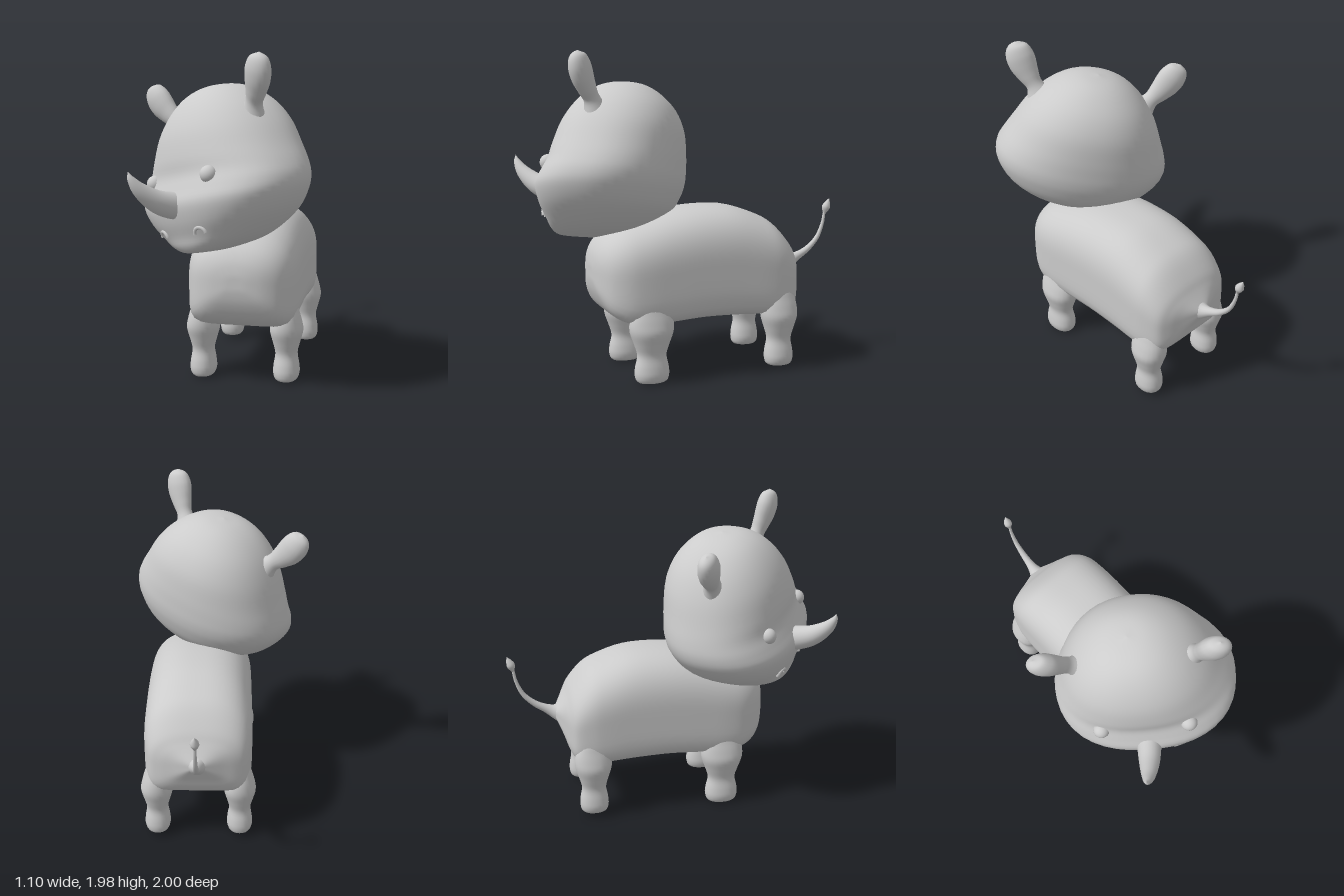
import * as THREE from 'three';

const grey = new THREE.MeshStandardMaterial({ color: 0xcccccc });
const V = (x, y, z) => new THREE.Vector3(x, y, z);

// Smoothly resample rows of numbers (cubic through every row)
function smoothRows(rows, steps) {
  const n = rows.length;
  const curve = new THREE.CubicInterpolant(rows.map((_, i) => i), rows.flat(), rows[0].length);
  const out = [];
  for (let i = 0; i <= (n - 1) * steps; i++) out.push(Array.from(curve.evaluate(i / steps)));
  return out;
}

// Skin a list of closed rings, each running anticlockwise about the direction of travel
function loft(name, rings) {
  const m = rings[0].length, index = [];
  for (let i = 0; i < rings.length - 1; i++) {
    for (let j = 0; j < m; j++) {
      const a = i * m + j, b = i * m + (j + 1) % m;
      index.push(a, b, a + m, b, b + m, a + m);
    }
  }
  const geo = new THREE.BufferGeometry().setFromPoints(rings.flat());
  geo.setIndex(index);
  geo.computeVertexNormals();
  const mesh = new THREE.Mesh(geo, grey);
  mesh.name = name;
  return mesh;
}

// Superellipse ring: place(u, v) turns each unit corner into a point
function ring(sides, exponent, place) {
  return Array.from({ length: sides }, (_, j) => {
    const a = (j / sides) * Math.PI * 2, c = Math.cos(a), s = Math.sin(a);
    const n = exponent(c, s);
    const k = Math.pow(Math.pow(Math.abs(c), n) + Math.pow(Math.abs(s), n), -1 / n);
    return place(c * k, s * k);
  });
}

// Tapered limb along a path; rows are x, y, z, radius along side, radius across
function taper(name, rows, side, sides = 20) {
  const pts = smoothRows(rows, 5);
  const rings = pts.map((p, i) => {
    const a = pts[Math.max(i - 1, 0)], b = pts[Math.min(i + 1, pts.length - 1)];
    const dir = V(b[0] - a[0], b[1] - a[1], b[2] - a[2]).normalize();
    const v = dir.clone().cross(side).normalize();
    const u = v.clone().cross(dir);
    return ring(sides, () => 2, (c, s) => V(p[0], p[1], p[2])
      .addScaledVector(u, c * Math.max(p[3], 0)).addScaledVector(v, s * Math.max(p[4], 0)));
  });
  return loft(name, rings);
}

function makeBody() {
  // z, top, bottom, half width
  const rows = smoothRows([
    [-0.72, 0.63, 0.63, 0], [-0.70, 0.655, 0.60, 0.045], [-0.66, 0.71, 0.51, 0.15],
    [-0.63, 0.755, 0.43, 0.235], [-0.59, 0.82, 0.38, 0.295], [-0.50, 0.92, 0.355, 0.326],
    [-0.40, 0.975, 0.35, 0.335], [-0.22, 1.03, 0.36, 0.335], [0, 1.035, 0.365, 0.335],
    [0.2, 1.01, 0.355, 0.335], [0.38, 0.965, 0.35, 0.332], [0.5, 0.925, 0.37, 0.312],
    [0.59, 0.865, 0.43, 0.258], [0.64, 0.795, 0.52, 0.175], [0.66, 0.72, 0.60, 0.08], [0.662, 0.66, 0.66, 0],
  ], 4);
  return loft('body', rows.map(([z, top, bottom, w]) =>
    ring(56, (c, s) => (s > 0 ? 2.6 : 6.5), (c, s) =>
      V(c * w, (top + bottom) / 2 + s * (top - bottom) / 2, z))));
}

function makeLeg(name, x, y, z, depth) {
  // height, half width, half depth
  const rows = smoothRows([
    [0, 0, 0], [0.005, 0.06, 0.085], [0.045, 0.08, 0.106], [0.1, 0.077, 0.103], [0.17, 0.067, 0.09],
    [0.24, 0.083, 0.11], [0.31, 0.1, 0.134], [0.37, 0.09, 0.136], [0.43, 0.073, 0.12], [0.5, 0.05, 0.08], [0.55, 0, 0],
  ], 4);
  const leg = loft(name, rows.map(([h, w, d]) => ring(24, () => 2.2, (c, s) => V(s * w, h, c * d * depth))));
  leg.position.set(x, y, z);
  return leg;
}

function makeHead() {
  const head = new THREE.Group();
  head.name = 'head';

  // Skull and muzzle: height, half width, front, back
  const rows = smoothRows([
    [-0.49, 0, 0.24, 0.24], [-0.485, 0.13, 0.345, 0.1], [-0.45, 0.255, 0.385, -0.1], [-0.39, 0.365, 0.405, -0.22],
    [-0.3, 0.475, 0.44, -0.32], [-0.2, 0.542, 0.457, -0.37], [-0.12, 0.554, 0.425, -0.39], [-0.04, 0.532, 0.393, -0.395],
    [0.06, 0.487, 0.385, -0.395], [0.2, 0.42, 0.35, -0.38], [0.32, 0.335, 0.285, -0.325],
    [0.41, 0.23, 0.2, -0.235], [0.46, 0.12, 0.1, -0.14], [0.477, 0, -0.02, -0.02],
  ], 4);
  head.add(loft('skull', rows.map(([y, w, f, b]) => {
    const full = THREE.MathUtils.lerp(2.4, 2.2, THREE.MathUtils.smoothstep(y, -0.15, 0.1));
    return ring(48, c => (c > 0 ? full : 2.15), (c, s) =>
      V(s * w, y, (f + b) / 2 + c * (f - b) / 2));
  })));

  // Upturned nose horn
  head.add(taper('horn', [
    [0, -0.21, 0.36, 0.078, 0.082], [0, -0.2, 0.45, 0.073, 0.077], [0, -0.165, 0.55, 0.062, 0.064],
    [0, -0.1, 0.64, 0.043, 0.044], [0, -0.035, 0.69, 0.022, 0.022], [0, 0.01, 0.705, 0, 0],
  ], V(1, 0, 0)));

  for (const s of [1, -1]) {
    const label = s > 0 ? 'left' : 'right';
    const eye = new THREE.Mesh(new THREE.SphereGeometry(0.05, 24, 16), grey);
    eye.name = label + 'Eye';
    eye.position.set(s * 0.262, -0.06, 0.355);
    head.add(eye);

    // Ears narrow at the root, broad and rounded at the end
    head.add(taper(label + 'Ear', [
      [s * 0.32, 0.24, 0.04, 0.075, 0.095], [s * 0.37, 0.31, 0.055, 0.048, 0.054], [s * 0.415, 0.365, 0.07, 0.053, 0.068],
      [s * 0.458, 0.425, 0.085, 0.062, 0.086], [s * 0.49, 0.485, 0.095, 0.062, 0.086],
      [s * 0.512, 0.54, 0.1, 0.043, 0.06], [s * 0.52, 0.565, 0.1, 0, 0],
    ], V(0, 0, 1)));

    // Nostrils as small raised arches
    const nostril = new THREE.Mesh(new THREE.TorusGeometry(0.038, 0.011, 8, 16, Math.PI), grey);
    nostril.name = label + 'Nostril';
    nostril.position.set(s * 0.17, -0.38, 0.395);
    nostril.rotation.set(0.3, s * 0.25, 0);
    head.add(nostril);
  }

  // Head turned aside and tipped a little
  const x = V(0.765, 0.205, 0.61).normalize();
  const z = x.clone().cross(V(0, 1, 0)).normalize();
  const y = z.clone().cross(x);
  head.quaternion.setFromRotationMatrix(new THREE.Matrix4().makeBasis(x, y, z));
  head.position.set(0.025, 1.33, 0.44);
  return head;
}

export function createModel() {
  const model = new THREE.Group();
  model.name = 'rhinoceros';

  const trunk = new THREE.Group();
  trunk.name = 'trunk';
  trunk.position.x = 0.11;
  trunk.add(makeBody());
  for (const s of [1, -1]) {
    const label = s > 0 ? 'left' : 'right';
    trunk.add(makeLeg(label + 'FrontLeg', s * 0.26, 0.005, 0.355, 1));
    trunk.add(makeLeg(label + 'BackLeg', s * 0.26, 0.025, -0.495, 0.86));
  }

  // Tail with a diamond tuft
  trunk.add(taper('tail', [
    [0, 0.62, -0.62, 0.11, 0.11], [0, 0.63, -0.69, 0.055, 0.055], [0, 0.655, -0.75, 0.03, 0.03],
    [0, 0.70, -0.83, 0.021, 0.02], [0, 0.77, -0.90, 0.015, 0.015], [0, 0.86, -0.94, 0.011, 0.011],
    [0, 0.94, -0.955, 0.009, 0.009],
  ], V(1, 0, 0), 14));
  trunk.add(taper('tailTuft', [
    [0, 0.915, -0.952, 0, 0], [0, 0.94, -0.958, 0.014, 0.014], [0, 0.97, -0.966, 0.027, 0.027],
    [0, 1.0, -0.978, 0.018, 0.018], [0, 1.03, -0.99, 0, 0],
  ], V(1, 0, 0), 10));

  model.add(trunk, makeHead());
  return model;
}
